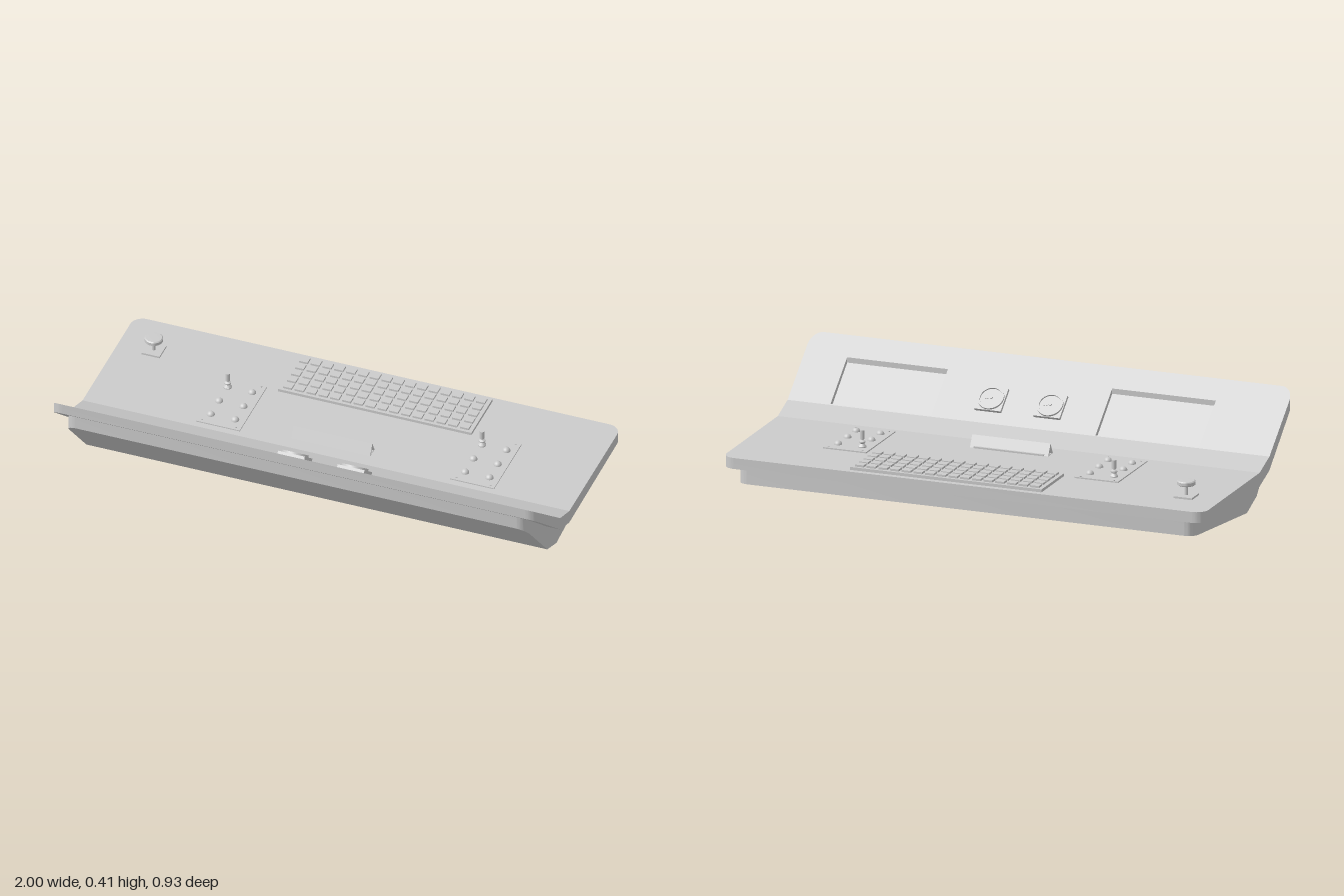
import * as THREE from 'three';
import { mergeGeometries, toCreasedNormals } from 'three/addons/utils/BufferGeometryUtils.js';

const mat = new THREE.MeshStandardMaterial({ color: 0xcccccc });
const DECK = 0.166;

// Side profiles as [z, y], back to front
const TOP = [[-0.463, 0.166], [0.11, 0.168], [0.21, 0.205], [0.463, 0.412]];
const RIM = [[-0.463, 0.122], [0.11, 0.113], [0.21, 0.15], [0.463, 0.368]];
const BELLY = [[-0.437, 0.058], [0.11, 0], [0.21, 0.04], [0.44, 0.293]];
const SLOPE = Math.atan2(0.207, 0.253);

function heightAt(profile, z) {
  let i = 0;
  while (i < profile.length - 2 && z > profile[i + 1][0]) i++;
  const [z0, y0] = profile[i], [z1, y1] = profile[i + 1];
  return y0 + (y1 - y0) * (z - z0) / (z1 - z0);
}

// Plan outline (drawn with -z up) with optional rounded corners at the back or front
function plan(x0, x1, zBack, zFront, rBack = 0, rFront = 0) {
  const s = new THREE.Shape(), b = -zBack, f = -zFront, h = Math.PI / 2;
  s.moveTo(x0 + rFront, f);
  s.lineTo(x1 - rFront, f);
  if (rFront) s.absarc(x1 - rFront, f + rFront, rFront, -h, 0);
  s.lineTo(x1, b - rBack);
  if (rBack) s.absarc(x1 - rBack, b - rBack, rBack, 0, h);
  s.lineTo(x0 + rBack, b);
  if (rBack) s.absarc(x0 + rBack, b - rBack, rBack, h, 2 * h);
  s.lineTo(x0, f + rFront);
  if (rFront) s.absarc(x0 + rFront, f + rFront, rFront, 2 * h, 3 * h);
  return s;
}

// Extrude a plan outline and bend it between two side profiles
function bentSlab(shape, low, high, t0 = 0, t1 = 1) {
  const g = new THREE.ExtrudeGeometry(shape, { depth: 1, bevelEnabled: false, curveSegments: 8 });
  g.rotateX(-Math.PI / 2);
  const p = g.attributes.position;
  for (let i = 0; i < p.count; i++) {
    const z = p.getZ(i), t = t0 + (t1 - t0) * p.getY(i);
    p.setY(i, THREE.MathUtils.lerp(heightAt(low, z), heightAt(high, z), t));
  }
  g.computeVertexNormals();
  return toCreasedNormals(g, 0.4);
}

function shell(half, zBack, zFront, r, low, high, holes = []) {
  const front = plan(-half, half, 0.21, zFront, 0, r);
  front.holes.push(...holes);
  return mergeGeometries([
    bentSlab(plan(-half, half, zBack, 0.11, r, 0), low, high),
    bentSlab(plan(-half, half, 0.11, 0.21), low, high),
    bentSlab(front, low, high),
  ]);
}

function add(parent, name, geometry, x = 0, y = 0, z = 0) {
  const m = new THREE.Mesh(geometry, mat);
  m.name = name;
  m.position.set(x, y, z);
  parent.add(m);
  return m;
}

function group(parent, name, x, y, z) {
  const g = new THREE.Group();
  g.name = name;
  g.position.set(x, y, z);
  parent.add(g);
  return g;
}

const box = (w, h, d) => new THREE.BoxGeometry(w, h, d);
const cyl = (r0, r1, h, n = 24) => new THREE.CylinderGeometry(r0, r1, h, n);
const lathe = (pts, n = 20) => toCreasedNormals(
  new THREE.LatheGeometry(pts.map(([x, y]) => new THREE.Vector2(x, y)), n), 0.6);

export function createModel() {
  const model = new THREE.Group();
  model.name = 'controlConsole';

  // Bent panel with two screen openings, over a narrower housing
  const screens = [[-0.707, -0.277], [0.405, 0.823]];
  const holes = screens.map(([a, b]) => plan(a, b, 0.213, 0.384));
  add(model, 'panel', shell(1, -0.463, 0.463, 0.05, RIM, TOP, holes));
  add(model, 'housing', shell(0.947, -0.437, 0.44, 0.045, BELLY, RIM));
  for (const [a, b] of screens) {
    add(model, 'screen', bentSlab(plan(a, b, 0.213, 0.384), RIM, TOP, 0.1, 0.55));
  }

  // Round gauges on the sloped part
  for (const x of [-0.06, 0.185]) {
    const gauge = group(model, 'gauge', x, heightAt(TOP, 0.293), 0.293);
    gauge.rotation.x = -SLOPE;
    add(gauge, 'gaugePlate', box(0.11, 0.014, 0.108), 0, 0.005, 0);
    add(gauge, 'gaugeBezel', lathe([[0.044, 0.01], [0.044, 0.02], [0.052, 0.02], [0.052, 0.01]].reverse(), 32));
    add(gauge, 'gaugeFace', cyl(0.045, 0.045, 0.004, 32), 0, 0.012, 0);
    add(gauge, 'gaugeHub', cyl(0.005, 0.005, 0.006, 12), 0, 0.016, 0);
    const needle = add(gauge, 'gaugeNeedle', box(0.036, 0.002, 0.003), 0.008, 0.016, 0);
    needle.rotation.y = 0.4;
  }

  // Keyboard: base plate with rows of keys
  const keyboard = group(model, 'keyboard', 0.08, DECK, -0.325);
  add(keyboard, 'keyboardBase', box(0.795, 0.012, 0.23), 0, 0.006, 0);
  const keys = [], cols = 16, rows = 5;
  for (let r = 0; r < rows; r++) {
    for (let c = 0; c < cols; c++) {
      keys.push(box(0.036, 0.009, 0.032)
        .translate((c - (cols - 1) / 2) * 0.0485, 0.0155, (r - (rows - 1) / 2) * 0.0435));
    }
  }
  add(keyboard, 'keys', mergeGeometries(keys));

  // Two control plates, each with a joystick, five dome buttons and corner screws
  const dome = new THREE.SphereGeometry(0.016, 16, 6, 0, Math.PI * 2, 0, Math.PI / 2);
  const stick = lathe([[0.016, 0], [0.016, 0.005], [0.008, 0.016], [0.013, 0.02], [0.013, 0.025],
    [0.005, 0.03], [0.005, 0.034], [0.009, 0.034], [0.009, 0.069], [0, 0.07]]);
  for (const x of [-0.455, 0.59]) {
    const unit = group(model, 'controlUnit', x, DECK, -0.068);
    add(unit, 'controlPlate', box(0.18, 0.006, 0.3), 0, 0.003, 0);
    for (const dx of [-0.05, 0.05]) {
      for (const dz of [-0.092, 0.003, 0.093]) {
        const isStick = dx < 0 && dz < -0.05;
        add(unit, isStick ? 'joystick' : 'button', isStick ? stick : dome, dx, 0.005, dz);
      }
      for (const dz of [-0.14, 0.135]) {
        add(unit, 'screw', cyl(0.004, 0.004, 0.004, 8), dx * 1.4, 0.007, dz);
      }
    }
  }

  // Tent-shaped sign holder
  const tent = new THREE.Shape([[-0.025, 0], [0.025, 0], [0, 0.047]].map(([a, b]) => new THREE.Vector2(a, b)));
  tent.holes.push(new THREE.Path([[-0.014, 0.004], [0, 0.033], [0.014, 0.004]].map(([a, b]) => new THREE.Vector2(a, b))));
  const tentGeo = new THREE.ExtrudeGeometry(tent, { depth: 0.325, bevelEnabled: false });
  tentGeo.translate(0, 0, -0.1625).rotateY(Math.PI / 2);
  const sign = group(model, 'signHolder', -0.002, DECK, 0.03);
  add(sign, 'signTent', tentGeo);
  add(sign, 'signLip', box(0.29, 0.008, 0.012), 0, 0.004, -0.024);

  // Mushroom push button
  const push = group(model, 'pushButton', -0.855, DECK, -0.283);
  add(push, 'pushBase', box(0.075, 0.008, 0.075), 0, 0.004, 0);
  add(push, 'pushStem', cyl(0.007, 0.007, 0.05, 16), 0, 0.03, 0);
  add(push, 'pushCap', lathe([[0, 0.047], [0.03, 0.047], [0.036, 0.051], [0.036, 0.063], [0.032, 0.067], [0, 0.068]], 32));

  return model;
}
